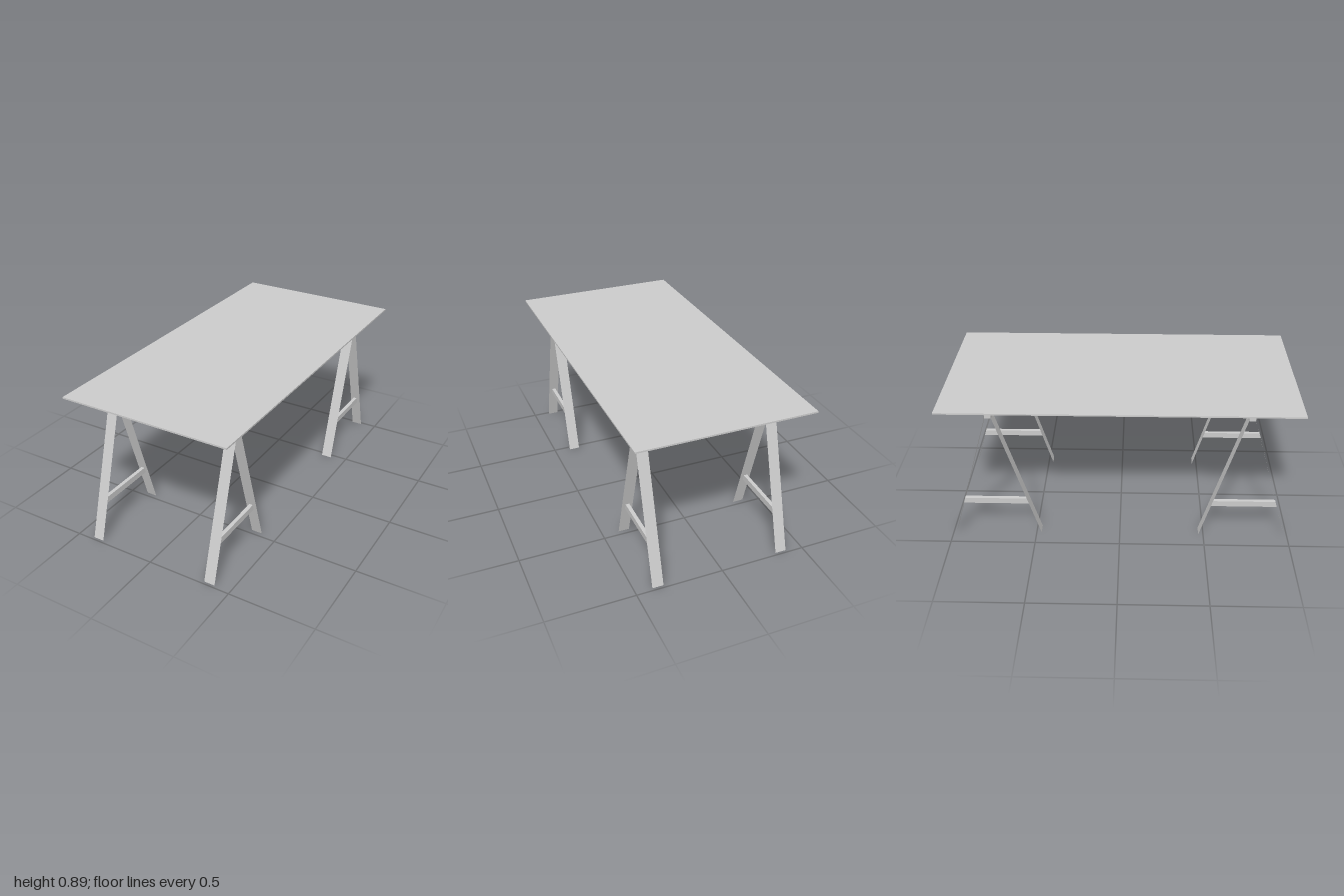
import * as THREE from 'three';

const grey = new THREE.MeshStandardMaterial({ color: 0xcccccc, flatShading: true });
const sheet = new THREE.MeshStandardMaterial({ color: 0xcccccc, flatShading: true, side: THREE.DoubleSide });

function box(name, w, h, d, x, y, z, parent) {
  const mesh = new THREE.Mesh(new THREE.BoxGeometry(w, h, d), grey);
  mesh.name = name;
  mesh.position.set(x, y, z);
  parent.add(mesh);
  return mesh;
}

const TOP = 0.876, BEND = 0.8, HALF = 0.0195, FOOT = 0.256;
const legZ = (y) => (y >= BEND ? HALF : FOOT + (HALF - FOOT) * (y / BEND));

// Thin leg: slopes up to the beam, then runs vertically along its side
function leg(x, side) {
  const geo = new THREE.PlaneGeometry(0.064, 1, 1, 2);
  const pos = geo.attributes.position;
  const heights = [TOP, BEND, 0];
  for (let i = 0; i < pos.count; i++) {
    const y = heights[Math.floor(i / 2)];
    pos.setXYZ(i, pos.getX(i), y, side * legZ(y));
  }
  geo.computeVertexNormals();
  const mesh = new THREE.Mesh(geo, sheet);
  mesh.name = 'leg';
  mesh.position.x = x;
  return mesh;
}

// Brace between a pair of legs, its ends cut to the slope
function brace(x) {
  const [y0, y1] = [0.2, 0.236];
  const shape = new THREE.Shape([
    new THREE.Vector2(-legZ(y0), y0), new THREE.Vector2(legZ(y0), y0),
    new THREE.Vector2(legZ(y1), y1), new THREE.Vector2(-legZ(y1), y1),
  ]);
  const geo = new THREE.ExtrudeGeometry(shape, { depth: 0.022, bevelEnabled: false });
  geo.translate(0, 0, -0.011);
  geo.rotateY(Math.PI / 2);
  const mesh = new THREE.Mesh(geo, grey);
  mesh.name = 'brace';
  mesh.position.x = x;
  return mesh;
}

function trestle(z) {
  const group = new THREE.Group();
  group.name = 'trestle';
  box('beam', 0.806, TOP - BEND, 0.036, 0, (TOP + BEND) / 2, 0, group);
  for (const s of [-1, 1]) {
    const x = s * 0.372;
    group.add(leg(x, 1), leg(x, -1), brace(x));
    // Small spacer between beam and table top
    box('spacer', 0.022, 0.004, 0.022, s * 0.25, 0.878, 0, group);
  }
  group.position.z = z;
  return group;
}

export function createModel() {
  const model = new THREE.Group();
  model.name = 'trestleTable';
  box('tableTop', 1, 0.009, 2, 0, 0.8845, 0, model);
  model.add(trestle(0.727), trestle(-0.727));

  // Stiffening frame under the top
  const frame = new THREE.Group();
  frame.name = 'underFrame';
  for (const s of [-1, 1]) {
    box('longRail', 0.005, 0.04, 1.816, s * 0.1535, 0.86, 0, frame);
    box('crossRail', 0.302, 0.038, 0.005, 0, 0.861, s * 0.9055, frame);
  }
  model.add(frame);
  return model;
}
